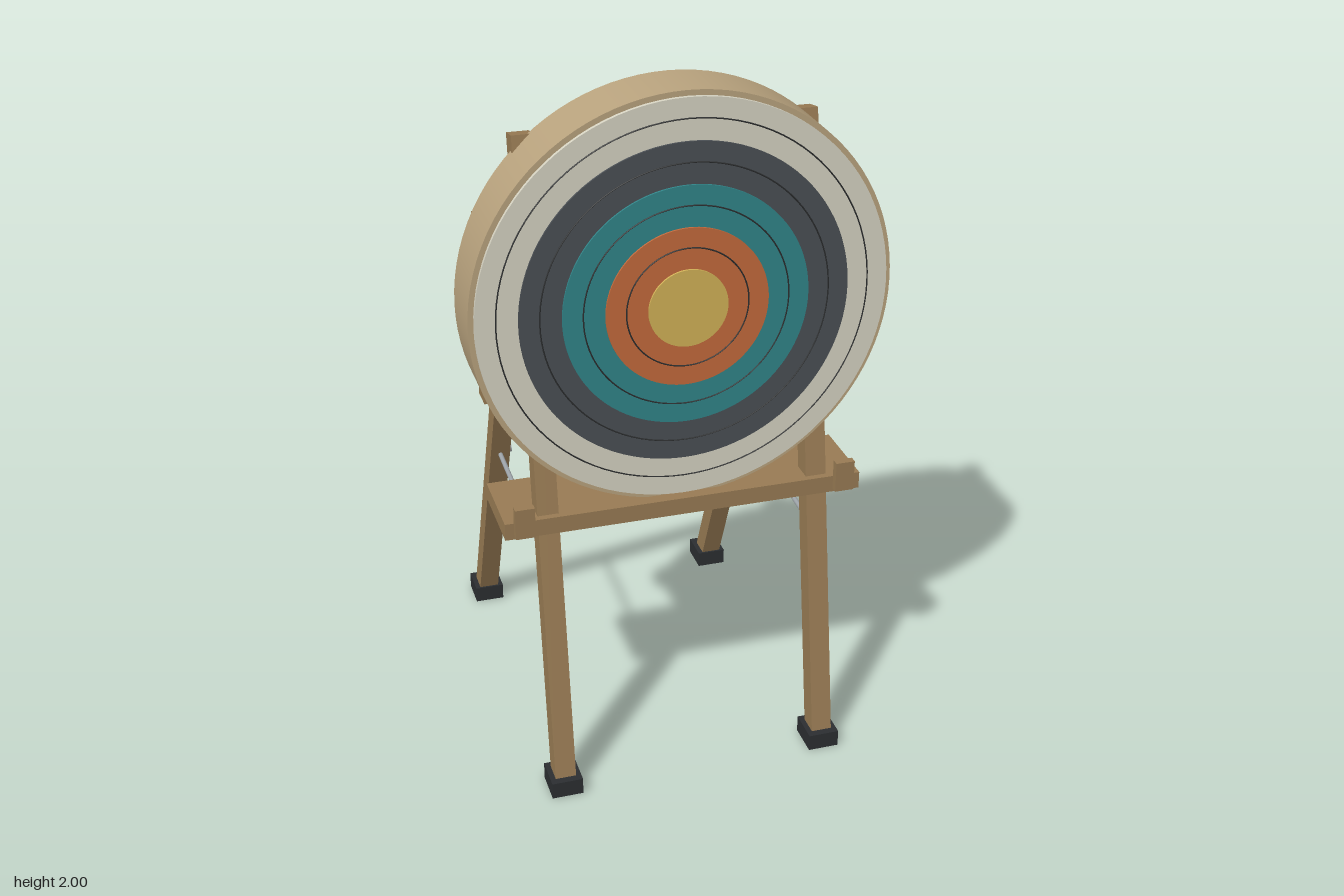
import * as THREE from 'three';

const mat = (color) => new THREE.MeshStandardMaterial({ color });
const WOOD = mat(0x987b54), STRAW = mat(0xb9a37e), TWINE = mat(0x5f4f38);
const RUBBER = mat(0x2b2e31), METAL = mat(0x9da3a8), INK = mat(0x2b2d2e);

export function createModel() {
  const root = new THREE.Group();
  const CY = 1.415; // height of the target centre

  function add(name, geometry, material, x = 0, y = 0, z = 0, parent = root) {
    const mesh = new THREE.Mesh(geometry, material);
    mesh.name = name;
    mesh.position.set(x, y, z);
    parent.add(mesh);
    return mesh;
  }
  const box = (name, w, h, d, x, y, z, material = WOOD) =>
    add(name, new THREE.BoxGeometry(w, h, d), material, x, y, z);

  // Aligns a mesh's y axis with the line from a to b
  function between(name, makeGeometry, material, a, b) {
    const p = new THREE.Vector3(...a), q = new THREE.Vector3(...b);
    const dir = q.clone().sub(p);
    const mid = p.clone().add(q).multiplyScalar(0.5);
    const mesh = add(name, makeGeometry(dir.length()), material, mid.x, mid.y, mid.z);
    mesh.quaternion.setFromUnitVectors(new THREE.Vector3(0, 1, 0), dir.normalize());
    return mesh;
  }
  const beam = (w, d) => (length) => new THREE.BoxGeometry(w, length, d);
  const rod = (r) => (length) => new THREE.CylinderGeometry(r, r, length, 16);

  // Round straw butt, its axis turned to face +z
  const target = new THREE.Group();
  target.name = 'target';
  target.position.y = CY;
  root.add(target);
  const disc = (name, r, z0, z1, material) => {
    const geometry = new THREE.CylinderGeometry(r, r, z1 - z0, 96).rotateX(Math.PI / 2);
    return add(name, geometry, material, 0, 0, (z0 + z1) / 2, target);
  };
  disc('strawButt', 0.585, 0.225, 0.4, STRAW);

  // Stepped scoring zones, each with a thin dividing line
  const zones = [
    ['whiteZone', 0.57, 0xd6d3c2], ['darkZone', 0.455, 0x4a4f54], ['tealZone', 0.34, 0x318589],
    ['orangeZone', 0.225, 0xc36a3c], ['goldZone', 0.11, 0xd2b257],
  ];
  zones.forEach(([name, r, color], i) => {
    const front = 0.411 + i * 0.006;
    disc(name, r, 0.398, front, mat(color));
    if (i < 4) {
      add('scoreLine', new THREE.TorusGeometry(r - 0.056, 0.002, 6, 96), INK, 0, 0, front, target);
    }
  });

  // Stitched rings on the back of the butt
  for (const r of [0.54, 0.36, 0.18]) {
    add('backStitching', new THREE.TorusGeometry(r, 0.004, 6, 96), TWINE, 0, 0, 0.225, target);
  }

  // Cross rails, shelf and diagonal brace
  box('upperRail', 1.03, 0.07, 0.07, 0, 1.605, 0.185);
  box('lowerRail', 1.03, 0.07, 0.07, 0, 1.135, 0.185);
  box('shelf', 1.03, 0.05, 0.235, 0, 0.815, 0.3175);
  between('diagonalBrace', beam(0.04, 0.03), WOOD, [0.37, 1.6, 0.14], [-0.37, 1.14, 0.14]);

  for (const side of [-1, 1]) {
    const x = side * 0.39;

    // Legs and rubber feet
    between('frontLeg', beam(0.06, 0.06), WOOD, [x, 0.03, 0.527], [x, 1.862, 0.207]);
    between('backLeg', beam(0.06, 0.06), WOOD, [x, 0.03, -0.527], [x, 1.678, 0.177]);
    box('frontFoot', 0.09, 0.05, 0.1, x, 0.025, 0.525, RUBBER);
    box('backFoot', 0.09, 0.05, 0.1, x, 0.025, -0.53, RUBBER);

    // Hinge barrel, spreader rod and its bolt
    between('hinge', rod(0.024), METAL, [x - 0.05, 1.675, 0.19], [x + 0.05, 1.675, 0.19]);
    between('spreaderRod', rod(0.007), METAL, [x, 0.67, 0.41], [x, 0.7, -0.24]);
    between('spreaderBolt', rod(0.013), METAL, [x, 0.7, -0.24], [x + 0.04, 0.7, -0.24]);

    // Shelf stop and carrying handle
    box('shelfStop', 0.055, 0.09, 0.022, side * 0.4625, 0.845, 0.445);
    box('handle', 0.025, 0.19, 0.02, side * 0.552, CY, 0.218, RUBBER);
  }
  return root;
}
